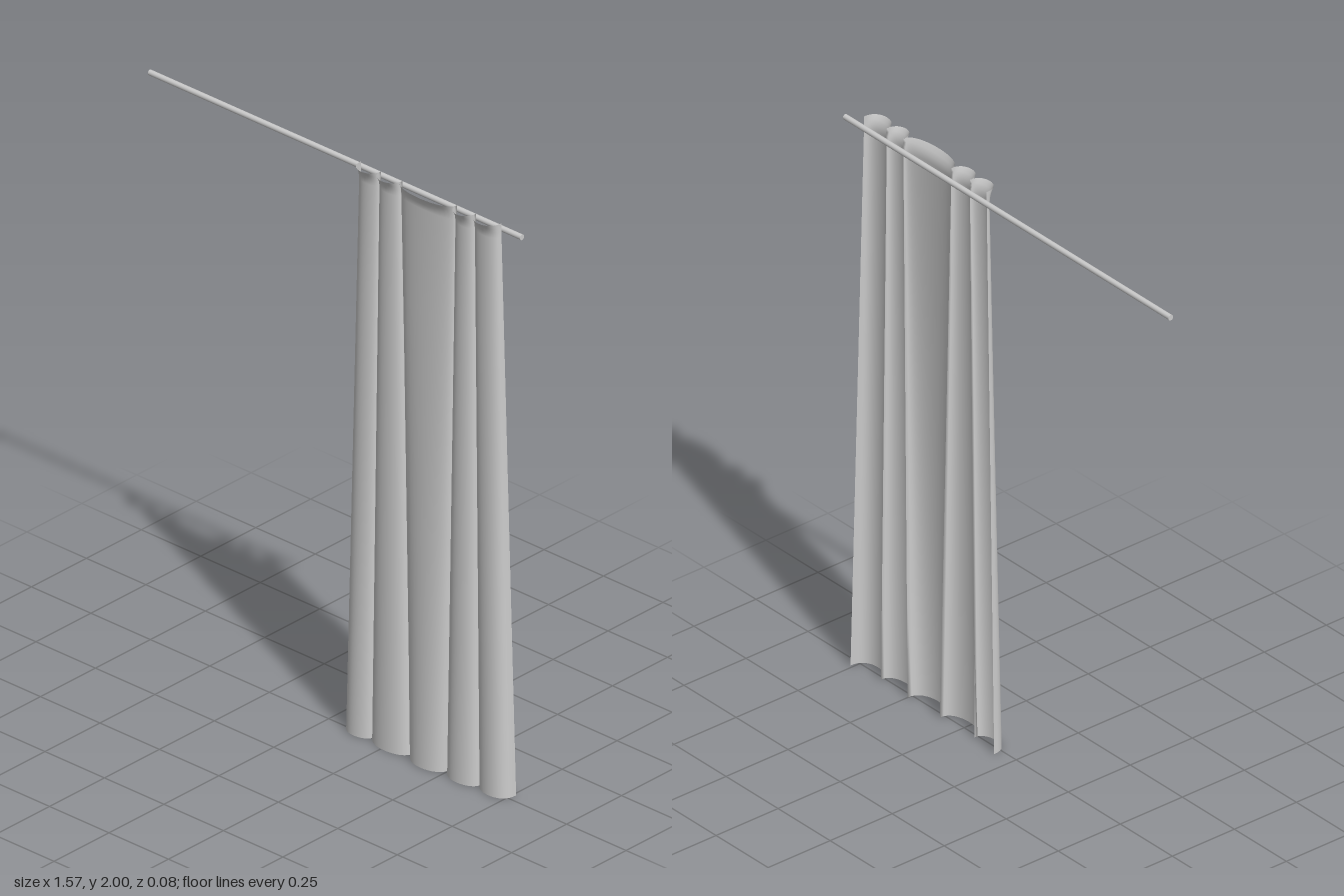
import * as THREE from 'three';

// Fold boundaries [x, z] and the front depth of each fold, at hem and heading
const hem = {
  edges: [[0.07, -0.03], [0.185, -0.012], [0.345, -0.018], [0.5, -0.018], [0.635, -0.012], [0.76, -0.03]],
  crests: [0.028, 0.034, 0.04, 0.034, 0.028],
};
const heading = {
  edges: [[0.12, -0.018], [0.21, -0.01], [0.3, -0.01], [0.53, -0.01], [0.61, -0.01], [0.71, -0.018]],
  crests: [0.01, 0.012, 0.014, 0.012, 0.01],
};
const STEPS = 16; // columns per fold
const HEADING_Y = 1.95;

// Height and forward flare of each row
const rows = [[0, 0], [0.4, 0], [0.8, 0], [1.2, 0], [1.6, 0], [HEADING_Y, 0], [1.97, 0.004], [1.985, 0.011], [2, 0.023]];

function curtainPoint(fold, u, y, flare) {
  const t = Math.min(y / HEADING_Y, 1);
  const mix = (a, b) => a + (b - a) * t;
  const edge = (i, k) => mix(hem.edges[i][k], heading.edges[i][k]);
  const a = Math.PI * u;
  const across = (1 - Math.cos(a)) / 2;
  const bulge = Math.pow(Math.max(Math.sin(a), 0), 0.8);
  const back = edge(fold, 1) * (1 - across) + edge(fold + 1, 1) * across;
  const crest = mix(hem.crests[fold], heading.crests[fold]);
  return [
    edge(fold, 0) + (edge(fold + 1, 0) - edge(fold, 0)) * across,
    y,
    back + (crest - back) * bulge + flare * bulge,
  ];
}

function curtainGeometry() {
  const positions = [], index = [];
  const columns = hem.crests.length * STEPS;
  for (const [y, flare] of rows) {
    for (let c = 0; c <= columns; c++) {
      const fold = Math.min(Math.floor(c / STEPS), hem.crests.length - 1);
      positions.push(...curtainPoint(fold, c / STEPS - fold, y, flare));
    }
  }
  const stride = columns + 1;
  for (let r = 0; r < rows.length - 1; r++) {
    for (let c = 0; c < columns; c++) {
      const a = r * stride + c, b = a + 1, d = a + stride, e = d + 1;
      index.push(a, b, e, a, e, d);
    }
  }
  const geometry = new THREE.BufferGeometry();
  geometry.setAttribute('position', new THREE.Float32BufferAttribute(positions, 3));
  geometry.setIndex(index);
  geometry.computeVertexNormals();
  return geometry;
}

export function createModel() {
  const group = new THREE.Group();
  group.name = 'curtainOnRod';

  // Horizontal rod behind the heading
  const rod = new THREE.Mesh(
    new THREE.CylinderGeometry(0.0095, 0.0095, 1.565, 16),
    new THREE.MeshStandardMaterial({ color: 0xcccccc }),
  );
  rod.name = 'rod';
  rod.rotation.z = Math.PI / 2;
  rod.position.set(0, 1.971, -0.033);
  group.add(rod);

  // Single gathered drape, widening to the hem
  const curtain = new THREE.Mesh(
    curtainGeometry(),
    new THREE.MeshStandardMaterial({ color: 0xcccccc, side: THREE.DoubleSide }),
  );
  curtain.name = 'curtain';
  group.add(curtain);

  return group;
}
